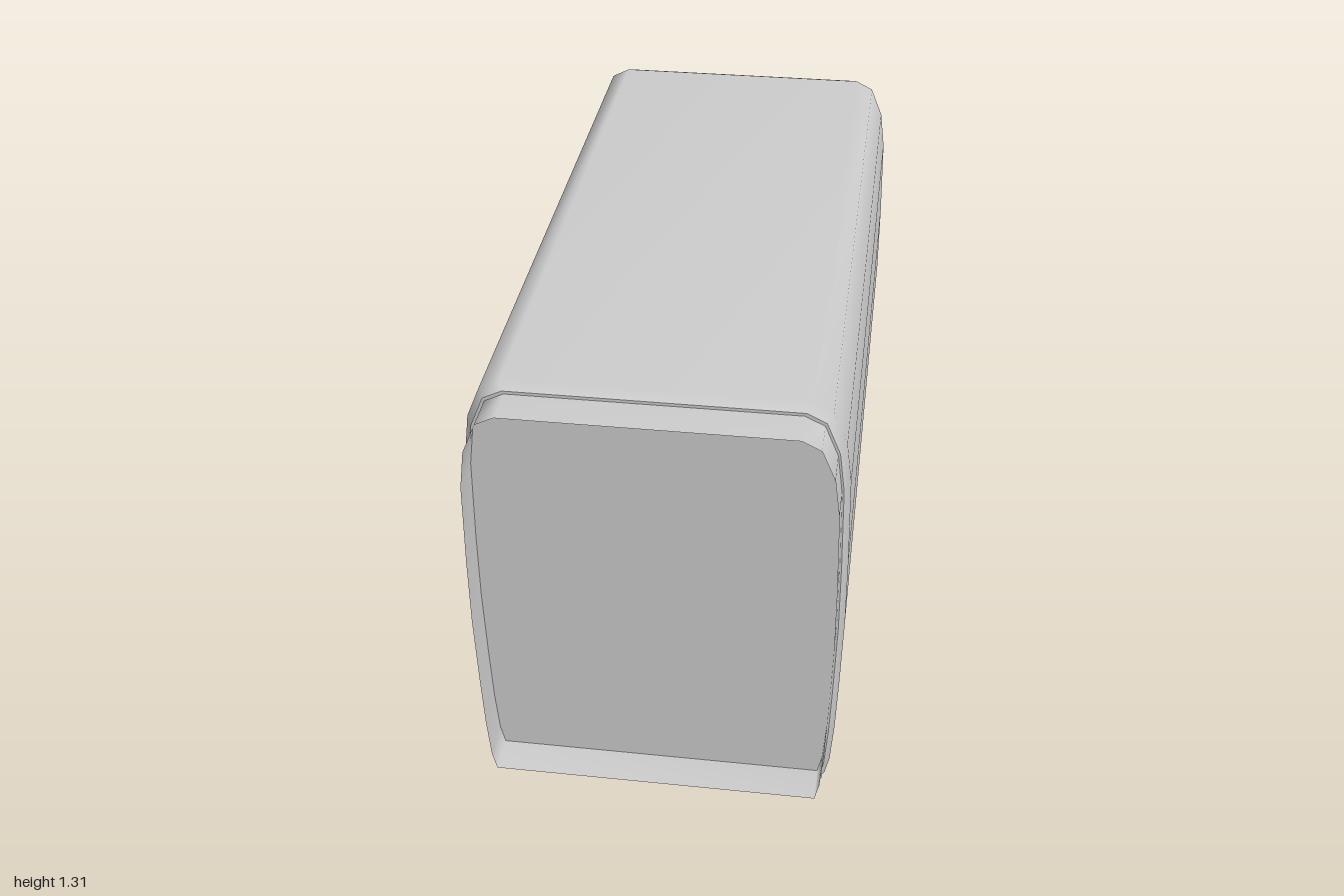
import * as THREE from 'three';

// half cross-section of the wagon, from the lower edge up to the roof
const HALF = [
  [0.445, 0.105], [0.457, 0.16], [0.465, 0.28], [0.47, 0.43], [0.475, 0.65],
  [0.474, 0.85], [0.469, 1.09], [0.455, 1.2], [0.42, 1.285], [0.37, 1.31],
];

// full section, refitted to a half width and a lower and upper height
function section(halfWidth, bottom, top) {
  const fit = ([x, y]) => [
    x * halfWidth / 0.475,
    bottom + (y - 0.105) * (top - bottom) / 1.205,
  ];
  const right = HALF.map(fit);
  return [...right, ...right.map(([x, y]) => [-x, y]).reverse()];
}

// smooth skin through a row of sections, each given as { z, pts }
function loft(rings, closed) {
  const pos = [], index = [], n = rings[0].pts.length;
  for (const { z, pts } of rings) for (const [x, y] of pts) pos.push(x, y, z);
  for (let r = 0; r < rings.length - 1; r++) {
    for (let i = 0; i < (closed ? n : n - 1); i++) {
      const a = r * n + i, b = r * n + (i + 1) % n;
      index.push(a, b, b + n, a, b + n, a + n);
    }
  }
  const geo = new THREE.BufferGeometry();
  geo.setAttribute('position', new THREE.Float32BufferAttribute(pos, 3));
  geo.setIndex(index);
  geo.computeVertexNormals();
  return geo;
}

function endPlate(pts) {
  return new THREE.ShapeGeometry(new THREE.Shape(pts.map(([x, y]) => new THREE.Vector2(x, y))));
}

export function createModel() {
  const model = new THREE.Group();
  const grey = new THREE.MeshStandardMaterial({ color: 0xcccccc, side: THREE.DoubleSide });
  grey.name = 'light grey';
  const add = (name, geo, x = 0, y = 0, z = 0) => {
    const mesh = new THREE.Mesh(geo, grey);
    mesh.name = name;
    mesh.position.set(x, y, z);
    model.add(mesh);
    return mesh;
  };

  // body shell with bevelled ends
  const full = section(0.475, 0.105, 1.31);
  const inset = section(0.46, 0.115, 1.298);
  add('bodyShell', loft([
    { z: -1, pts: inset }, { z: -0.97, pts: full },
    { z: 0.87, pts: full }, { z: 0.9, pts: inset },
  ], false));

  // end walls
  add('frontWall', endPlate(inset), 0, 0, 0.9);
  add('backWall', endPlate(inset), 0, 0, -1).rotation.y = Math.PI;

  // underside
  add('floor', new THREE.PlaneGeometry(0.88, 1.9).rotateX(Math.PI / 2), 0, 0.115, -0.05);

  // open collar on the front end
  const collar = section(0.455, 0.14, 1.29);
  add('frontCollar', loft([{ z: 0.9, pts: collar }, { z: 1, pts: collar }], true));

  // wheels and the bearers beside them
  for (const side of [-1, 1]) {
    for (const z of [0.31, -0.4]) {
      const wheel = new THREE.CylinderGeometry(0.112, 0.112, 0.04, 8).rotateZ(Math.PI / 2);
      add('wheel', wheel, side * 0.3, 0.112, z);
    }
    add('bearer', new THREE.BoxGeometry(0.04, 0.014, 0.72), side * 0.34, 0.109, -0.045);
  }
  return model;
}
